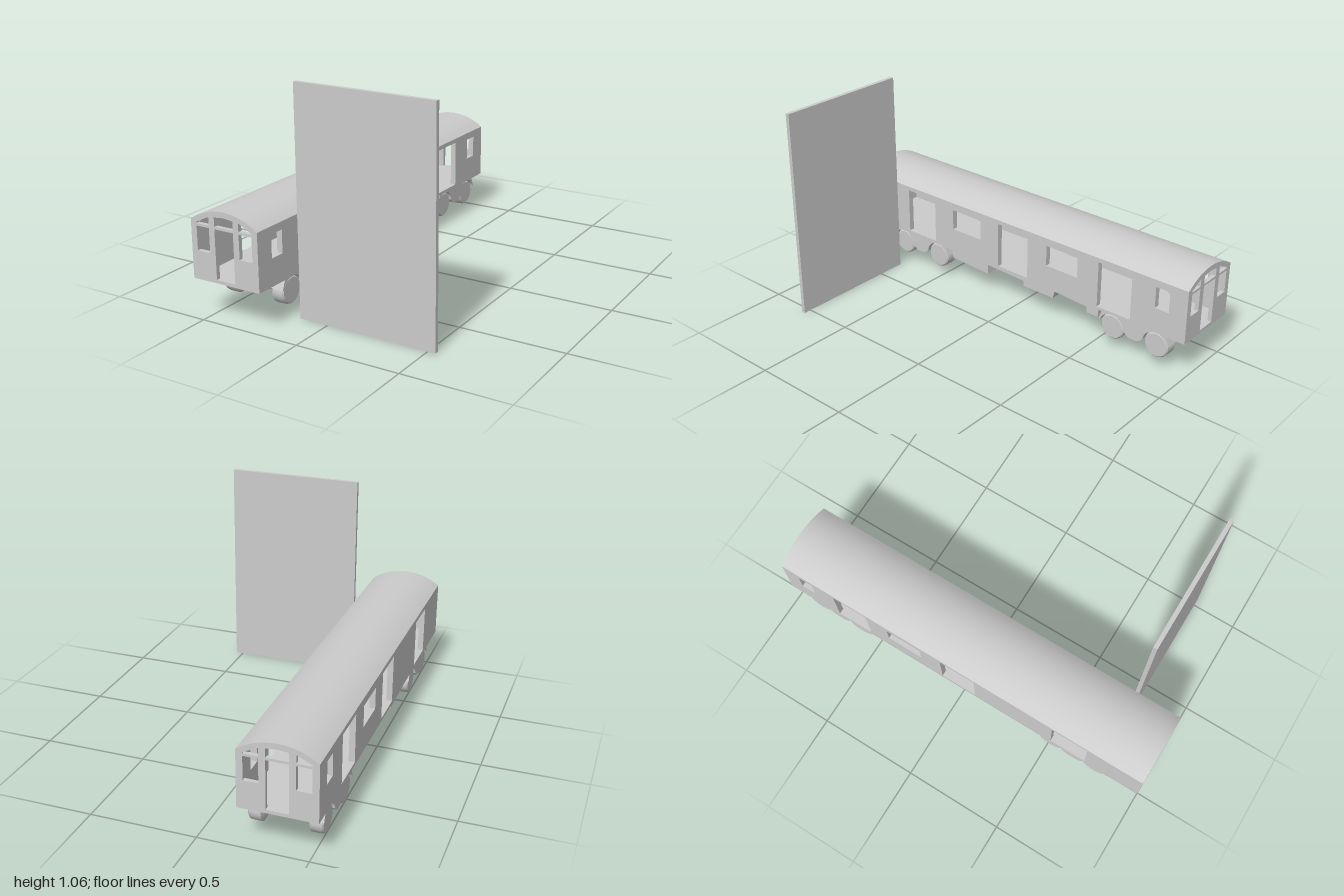
import * as THREE from 'three';
import { toCreasedNormals } from 'three/addons/utils/BufferGeometryUtils.js';

const material = new THREE.MeshStandardMaterial({ color: 0xcccccc, side: THREE.DoubleSide });
const HALF = 0.178, FLOOR = 0.19, EAVE = 0.462, END = 0.02;

function addMesh(parent, name, geometry, x = 0, y = 0, z = 0) {
  const mesh = new THREE.Mesh(geometry, material);
  mesh.name = name;
  mesh.position.set(x, y, z);
  parent.add(mesh);
  return mesh;
}

const poly = (pts) => new THREE.Shape(pts.map(([x, y]) => new THREE.Vector2(x, y)));
const rect = (x0, x1, y0, y1) => poly([[x0, y0], [x1, y0], [x1, y1], [x0, y1]]);

// Points of a shallow arch running from +half to -half
function arch(half, base, top, n = 16) {
  const h = top - base, r = (half * half + h * h) / (2 * h), a = Math.asin(half / r);
  return Array.from({ length: n + 1 }, (_, i) => {
    const t = a - (2 * a * i) / n;
    return [r * Math.sin(t), top - r + r * Math.cos(t)];
  });
}

const extrude = (shape, depth) =>
  toCreasedNormals(new THREE.ExtrudeGeometry(shape, { depth, bevelEnabled: false }), 0.5);

// Extrude a (z, y) profile across x, centred on x
const across = (shape, width) => extrude(shape, width).rotateY(-Math.PI / 2).translate(width / 2, 0, 0);

function buildBody(car) {
  // Side walls with three doorways, two wide windows and two small end windows
  const side = rect(-1 + END, 1 - END, FLOOR, EAVE);
  for (const z of [-0.61, 0, 0.615]) side.holes.push(rect(z - 0.094, z + 0.094, 0.205, 0.44));
  for (const s of [-1, 1]) {
    side.holes.push(rect(s * 0.303 - 0.093, s * 0.303 + 0.093, 0.315, 0.422));
    side.holes.push(rect(s * 0.87 - 0.037, s * 0.87 + 0.037, 0.318, 0.426));
    addMesh(car, s > 0 ? 'leftWall' : 'rightWall', across(side, 0.028), s * (HALF - 0.014));
  }

  // Arched roof shell
  const roof = poly([...arch(HALF, EAVE, 0.52), ...arch(0.15, 0.448, 0.495).reverse()]);
  addMesh(car, 'roof', extrude(roof, 2 - 2 * END), 0, 0, -1 + END);
  addMesh(car, 'floor', new THREE.BoxGeometry(0.3, 0.015, 2 - 2 * END), 0, FLOOR + 0.0075);

  // End walls: central doorway, windows and lights above a crossbar
  const end = poly([[-HALF, FLOOR], [HALF, FLOOR], ...arch(HALF, EAVE, 0.52)]);
  end.holes.push(rect(-0.05, 0.05, 0.206, 0.436));
  end.holes.push(poly([[-0.05, 0.447], [0.05, 0.447], [0.05, 0.489], [0, 0.494], [-0.05, 0.489]]));
  for (const s of [-1, 1]) {
    end.holes.push(rect(s * 0.08, s * 0.148, 0.323, 0.436));
    end.holes.push(poly([[s * 0.08, 0.447], [s * 0.148, 0.447], [s * 0.148, 0.453], [s * 0.08, 0.486]]));
  }
  addMesh(car, 'frontEnd', extrude(end, END), 0, 0, 1 - END);
  addMesh(car, 'backEnd', extrude(end, END), 0, 0, -1);
}

function buildBogie(z) {
  const bogie = new THREE.Group();
  bogie.name = 'bogie';
  const R = 0.066, A = 0.1225, Y = 0.12;

  // Frame arched over both axles with a sagging middle
  const frame = new THREE.Shape();
  frame.moveTo(-A - 0.066, 0.14);
  frame.absarc(-A, Y, 0.069, Math.PI - 0.3, 0.1, true);
  frame.quadraticCurveTo(-0.035, 0.106, -0.02, 0.102);
  frame.lineTo(0.02, 0.102);
  frame.quadraticCurveTo(0.035, 0.106, A - 0.069, Y + 0.007);
  frame.absarc(A, Y, 0.069, Math.PI - 0.1, 0.3, true);
  frame.lineTo(A + 0.074, 0.142);
  frame.lineTo(A + 0.055, 0.191);
  frame.lineTo(-A - 0.055, 0.191);
  frame.lineTo(-A - 0.074, 0.142);
  addMesh(bogie, 'bogieFrame', across(frame, 0.346));

  // Wheels with a coned inner face, joined by axles
  const profile = [[0, 0.166], [0.058, 0.166], [0.064, 0.16], [R, 0.15], [R, 0.108], [0.05, 0.1], [0.019, 0.094]]
    .map(([r, x]) => new THREE.Vector2(r, x));
  const wheel = toCreasedNormals(new THREE.LatheGeometry(profile, 28), 0.5).rotateZ(-Math.PI / 2);
  for (const s of [-1, 1]) {
    addMesh(bogie, 'leftWheel', wheel, 0, Y, s * A);
    addMesh(bogie, 'rightWheel', wheel, 0, Y, s * A).rotation.y = Math.PI;
    addMesh(bogie, 'axle', new THREE.CylinderGeometry(0.019, 0.019, 0.2, 16).rotateZ(Math.PI / 2), 0, Y, s * A);
  }
  bogie.position.z = z;
  return bogie;
}

export function createModel() {
  const model = new THREE.Group();
  model.name = 'railCarAndPanel';

  const car = new THREE.Group();
  car.name = 'railCar';
  car.position.x = -0.361;
  buildBody(car);
  car.add(buildBogie(0.6375), buildBogie(-0.7225));

  // Stepped equipment boxes beneath the floor
  const belly = poly([
    [0.43, 0.19], [0.43, 0.145], [0.42, 0.127], [0.185, 0.117], [0.185, 0.168], [-0.05, 0.16], [-0.05, 0.132],
    [-0.235, 0.132], [-0.245, 0.172], [-0.44, 0.16], [-0.44, 0.13], [-0.505, 0.13], [-0.51, 0.19],
  ]);
  addMesh(car, 'underfloorEquipment', across(belly, 0.3));

  model.add(car);

  // Freestanding flat panel beside the car
  addMesh(model, 'panel', new THREE.BoxGeometry(0.681, 1.062, 0.02), 0.197, 0.531, 0.764);
  return model;
}
